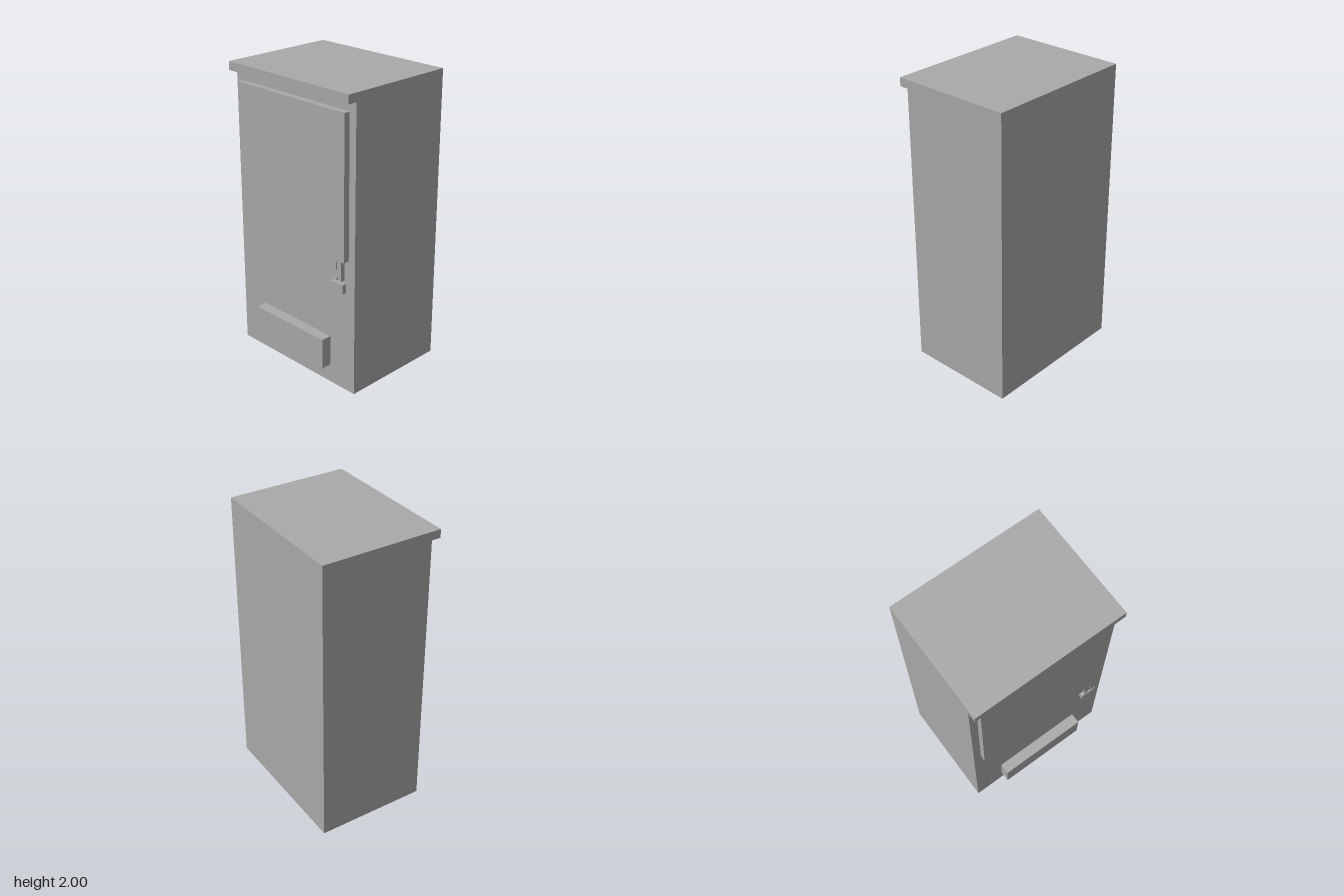
import * as THREE from 'three';

export function createModel() {
  const group = new THREE.Group();
  const grey = new THREE.MeshStandardMaterial({ color: 0xa9a9a9 });
  grey.name = 'grey';

  // Box given by its limits on each axis
  const box = (name, [x0, x1], [y0, y1], [z0, z1]) => {
    const mesh = new THREE.Mesh(new THREE.BoxGeometry(x1 - x0, y1 - y0, z1 - z0), grey);
    mesh.position.set((x0 + x1) / 2, (y0 + y1) / 2, (z0 + z1) / 2);
    mesh.name = name;
    group.add(mesh);
  };

  const front = 0.343;

  // Cabinet: side profile with the top overhanging the front, extruded across the width
  const profile = new THREE.Shape([
    [-0.417, 0], [front, 0], [front, 1.943], [0.406, 1.943], [0.406, 2], [-0.417, 2],
  ].map(([z, y]) => new THREE.Vector2(-z, y)).reverse());
  const cabinetGeometry = new THREE.ExtrudeGeometry(profile, { depth: 1.056, bevelEnabled: false });
  cabinetGeometry.translate(0, 0, -0.528).rotateY(Math.PI / 2);
  const cabinet = new THREE.Mesh(cabinetGeometry, grey);
  cabinet.name = 'cabinet';
  group.add(cabinet);

  // Display panel and dispensing tray
  box('displayPanel', [-0.475, 0.475], [0.927, 1.877], [front, 0.385]);
  box('dispensingTray', [-0.316, 0.316], [0.13, 0.34], [front, 0.417]);

  // Payment fittings
  box('coinPlate', [0.361, 0.441], [0.787, 0.927], [front, 0.375]);
  box('coinSlot', [0.398, 0.404], [0.86, 0.91], [0.375, 0.38]);
  box('returnButton', [0.387, 0.415], [0.796, 0.81], [0.375, 0.386]);
  box('coinReturn', [0.348, 0.453], [0.703, 0.766], [front, 0.375]);

  return group;
}
